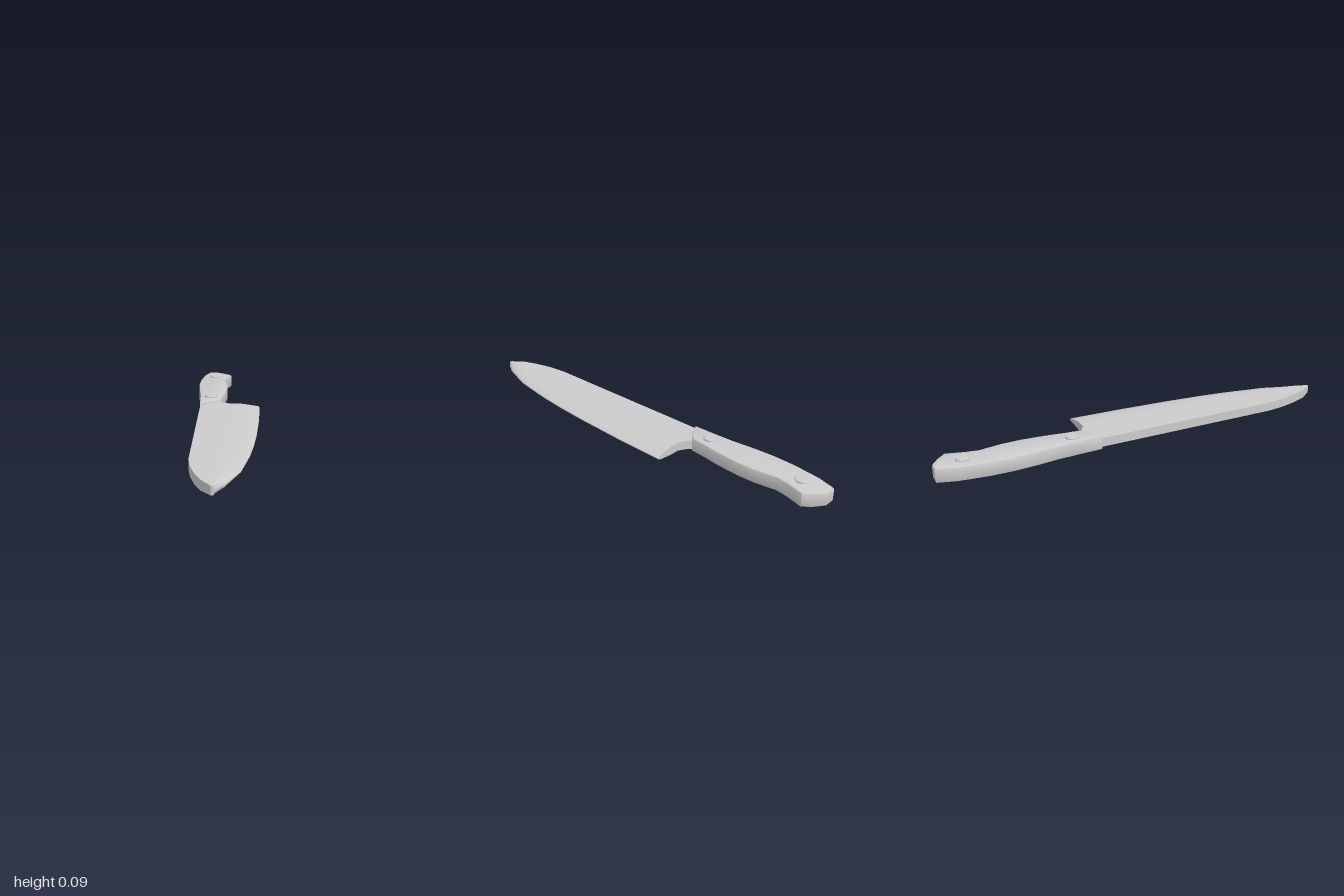
import * as THREE from 'three';
import { toCreasedNormals } from 'three/addons/utils/BufferGeometryUtils.js';

const MID = 0.045; // height of the knife's middle plane

// Blade: closed cross-sections from heel to tip, spine on -x and edge on +x
function bladeGeometry() {
  const fractions = [0, 0.33, 0.39, 0.52, 0.69, 0.85, 0.965, 1];
  const halves = [0.022, 0.022, 0.022, 0.022, 0.022, 0.015, 0.008, 0.002];
  const heelZ = [-0.3, -0.3, -0.285, -0.262, -0.262, -0.264, -0.268, -0.27];
  // z, spine x, edge x, thickness scale
  const sections = [
    [-0.27, -0.138, 0.165, 1], [-0.2, -0.138, 0.163, 1], [0, -0.138, 0.157, 1],
    [0.25, -0.138, 0.143, 1], [0.42, -0.138, 0.129, 1], [0.57, -0.138, 0.111, 1],
    [0.69, -0.138, 0.09, 1], [0.78, -0.126, 0.074, 1], [0.87, -0.103, 0.042, 1],
    [0.94, -0.076, 0.016, 1], [1, -0.036, -0.022, 0.85],
  ];
  const n = fractions.length, ring = 2 * n;
  const pos = [], index = [];
  sections.forEach(([z, spine, edge, scale], r) => {
    for (let k = 0; k < ring; k++) {
      const top = k < n, i = top ? k : ring - 1 - k;
      const y = MID + (top ? 1 : -1) * halves[i] * scale;
      pos.push(spine + (edge - spine) * fractions[i], y, r === 0 ? heelZ[i] : z);
    }
  });
  for (let r = 0; r < sections.length - 1; r++) {
    for (let k = 0; k < ring; k++) {
      const a = r * ring + k, b = r * ring + (k + 1) % ring;
      index.push(a, a + ring, b, b, a + ring, b + ring);
    }
  }
  // heel and tip caps
  const last = (sections.length - 1) * ring;
  for (let i = 0; i < n - 1; i++) {
    const a = i, b = i + 1, c = ring - 1 - i, d = ring - 2 - i;
    index.push(a, b, c, b, d, c);
    index.push(last + a, last + c, last + b, last + b, last + c, last + d);
  }
  const geo = new THREE.BufferGeometry();
  geo.setAttribute('position', new THREE.Float32BufferAttribute(pos, 3));
  geo.setIndex(index);
  return toCreasedNormals(geo, 0.4);
}

// Handle: outline seen from above (x, z), extruded with a soft bevel
function handleGeometry() {
  const outline = [
    [-0.141, -0.233], [-0.1, -0.252], [-0.065, -0.275], [-0.037, -0.298],
    [-0.03, -0.37], [-0.016, -0.47], [-0.008, -0.58], [-0.01, -0.67],
    [-0.026, -0.78], [-0.016, -0.84], [0.008, -0.925], [-0.03, -0.967],
    [-0.074, -1], [-0.122, -1], [-0.148, -0.91], [-0.164, -0.775],
    [-0.167, -0.67], [-0.161, -0.56], [-0.149, -0.45], [-0.144, -0.34],
  ];
  const shape = new THREE.Shape(outline.map(([x, z]) => new THREE.Vector2(x, -z)));
  const bevel = 0.008, height = 0.07;
  const geo = new THREE.ExtrudeGeometry(shape, {
    depth: height - 2 * bevel, bevelEnabled: true, bevelSize: bevel,
    bevelThickness: bevel, bevelOffset: -bevel, bevelSegments: 2,
  });
  geo.rotateX(-Math.PI / 2);
  geo.translate(0, MID - height / 2 + bevel, 0);
  return toCreasedNormals(geo, 0.6);
}

// Rivet: a pin through the handle with chamfered heads
function rivetGeometry() {
  const profile = [[0, -0.045], [0.028, -0.045], [0.032, -0.041],
    [0.032, 0.041], [0.028, 0.045], [0, 0.045]];
  const geo = new THREE.LatheGeometry(profile.map(([r, y]) => new THREE.Vector2(r, y)), 20);
  return toCreasedNormals(geo, 0.5);
}

export function createModel() {
  const group = new THREE.Group();
  group.name = 'kitchenKnife';
  const material = new THREE.MeshStandardMaterial({ color: 0xcccccc });
  const add = (name, geo) => {
    const mesh = new THREE.Mesh(geo, material);
    mesh.name = name;
    group.add(mesh);
    return mesh;
  };

  add('blade', bladeGeometry());
  add('handle', handleGeometry());
  const rivet = rivetGeometry();
  add('frontRivet', rivet).position.set(-0.09, MID, -0.363);
  add('rearRivet', rivet).position.set(-0.08, MID, -0.868);
  return group;
}
